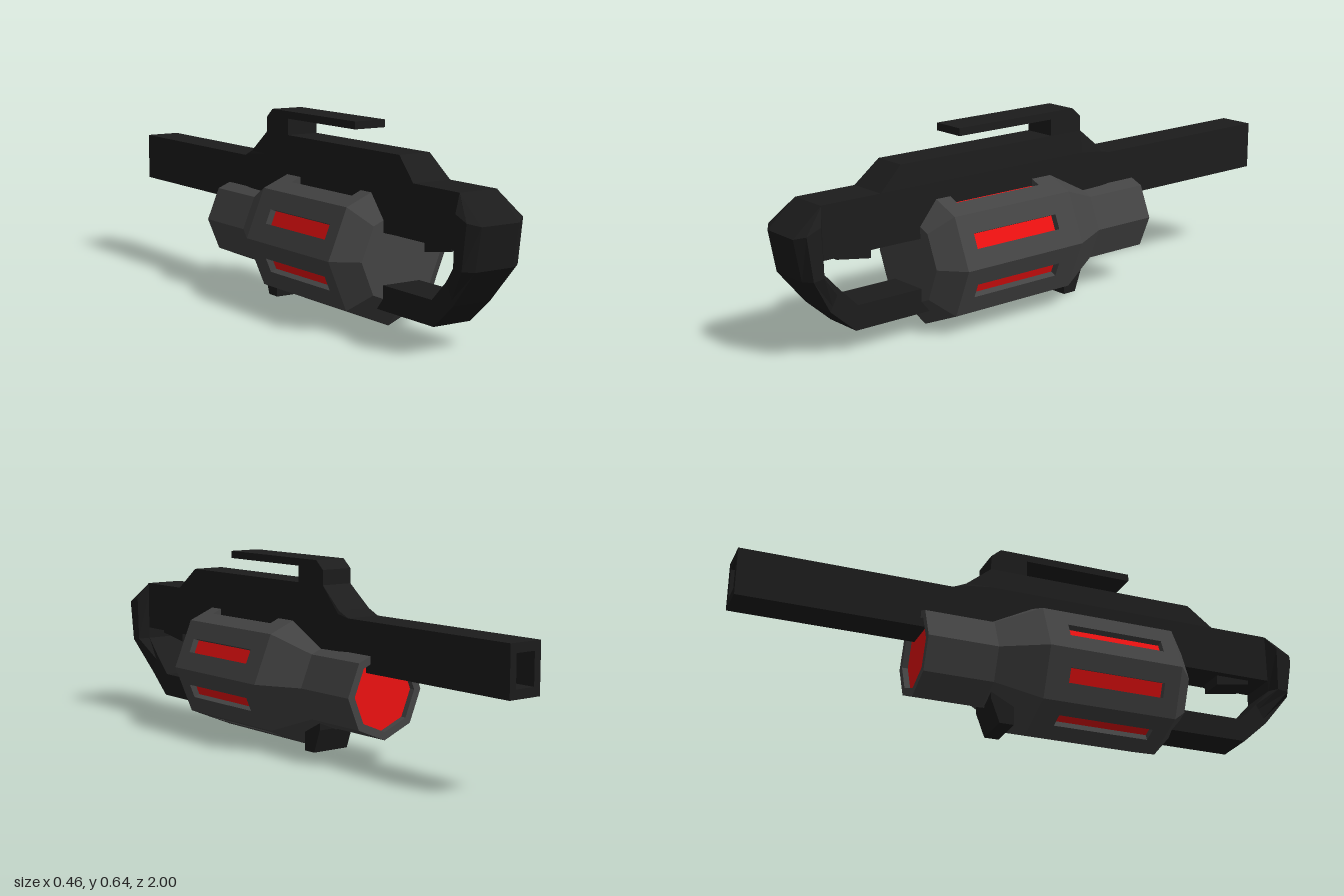
import * as THREE from 'three';

const mat = (color) => new THREE.MeshStandardMaterial({ color, flatShading: true });

export function createModel() {
  const group = new THREE.Group();
  const black = mat(0x1c1c1c), grey = mat(0x444444), red = mat(0xee1111);

  const add = (name, geometry, material, parent = group) => {
    const mesh = new THREE.Mesh(geometry, material);
    mesh.name = name;
    parent.add(mesh);
    return mesh;
  };

  // Skin a series of rings (counter-clockwise seen from the start) and cap both ends
  const loft = (rings) => {
    const pos = [];
    const tri = (...pts) => pts.forEach((p) => pos.push(...p));
    const n = rings[0].length;
    for (let i = 0; i < rings.length - 1; i++) {
      for (let j = 0; j < n; j++) {
        const k = (j + 1) % n, f = rings[i], b = rings[i + 1];
        tri(f[j], b[j], f[k]);
        tri(f[k], b[j], b[k]);
      }
    }
    const first = rings[0], last = rings[rings.length - 1];
    for (let j = 1; j < n - 1; j++) {
      tri(first[0], first[j], first[j + 1]);
      tri(last[0], last[j + 1], last[j]);
    }
    const g = new THREE.BufferGeometry();
    g.setAttribute('position', new THREE.Float32BufferAttribute(pos, 3));
    g.computeVertexNormals();
    return g;
  };

  // Extrude a side profile given as [z, y] to a half width
  const slab = (profile, half) => {
    const shape = new THREE.Shape(profile.map(([z, y]) => new THREE.Vector2(z, y)));
    return new THREE.ExtrudeGeometry(shape, { depth: half * 2, bevelEnabled: false })
      .translate(0, 0, -half).rotateY(-Math.PI / 2);
  };

  // Spine and long barrel: [z, bottom, shoulder, top, half width, top half width];
  // the last two sections turn inward to form the bore
  const spine = [
    [0.9, 0.315, 0.485, 0.485, 0.07, 0.07],
    [0.685, 0.315, 0.485, 0.485, 0.07, 0.07],
    [0.6, 0.315, 0.485, 0.56, 0.07, 0.058],
    [-0.145, 0.3, 0.485, 0.56, 0.07, 0.058],
    [-0.235, 0.3, 0.475, 0.485, 0.067, 0.063],
    [-0.28, 0.3, 0.465, 0.465, 0.062, 0.062],
    [-1, 0.3, 0.465, 0.465, 0.062, 0.062],
    [-1, 0.33, 0.435, 0.435, 0.037, 0.037],
    [-0.9, 0.33, 0.435, 0.435, 0.037, 0.037],
  ];
  add('spineAndBarrel', loft(spine.map(([z, b, s, t, w, v]) => [
    [-w, b, z], [w, b, z], [w, s, z], [v, t, z], [-v, t, z], [-w, s, z],
  ])), black);

  // Curved rear handle: outer [z, y], inner [z, y], half width of the bulge
  const handle = [
    [[0.9, 0.485], [0.9, 0.48], 0.07],
    [[1.0, 0.4], [0.9, 0.44], 0.105],
    [[0.975, 0.265], [0.9, 0.275], 0.105],
    [[0.88, 0.15], [0.845, 0.215], 0.07],
    [[0.79, 0.07], [0.78, 0.15], 0.07],
    [[0.5, 0.07], [0.5, 0.15], 0.07],
  ];
  add('handle', loft(handle.map(([o, i, w]) => {
    const at = (x, t) => [x, o[1] + (i[1] - o[1]) * t, o[0] + (i[0] - o[0]) * t];
    return [at(-0.07, 0), at(0.07, 0), at(w, 0.25), at(w, 0.75),
      at(0.07, 1), at(-0.07, 1), at(-w, 0.75), at(-w, 0.25)];
  })), black);

  // Small parts along the centre line
  add('trigger', slab([[0.835, 0.33], [0.835, 0.3], [0.71, 0.28], [0.71, 0.33]], 0.045), black);
  add('lowerFin', slab([[-0.065, 0.12], [-0.065, 0], [-0.115, 0], [-0.145, 0.08], [-0.145, 0.12]], 0.07), black);
  add('topRail', slab([[-0.015, 0.55], [-0.015, 0.615], [0.37, 0.615], [0.37, 0.64],
    [-0.11, 0.64], [-0.145, 0.61], [-0.145, 0.55]], 0.058), black);

  // Octagonal chamber, centred on its own axis
  const chamber = new THREE.Group();
  chamber.name = 'chamber';
  chamber.position.y = 0.23;
  group.add(chamber);
  const R = 0.23, r = 0.152, start = 0, end = 0.475;
  const turned = (pts) => new THREE.LatheGeometry(
    pts.map(([x, y]) => new THREE.Vector2(x, y)), 8).rotateX(Math.PI / 2);
  add('nozzle', turned([[0.125, -0.37], [0.125, -0.39], [r, -0.39], [r, -0.15], [R, start]]), grey, chamber);
  add('frontBevel', turned([[R, end], [r, 0.54], [0, 0.54]]), grey, chamber);
  add('nozzleGlow', new THREE.CircleGeometry(0.125, 8).rotateY(Math.PI).translate(0, 0, -0.37), red, chamber);

  // Eight side plates, each with a slot over a glowing strip
  const half = R * Math.sin(Math.PI / 8), apothem = R * Math.cos(Math.PI / 8);
  const slot = { half: 0.025, from: 0.08, to: 0.42, depth: 0.022 };
  const rect = (Type, w, y0, y1) => new Type([[-w, y0], [w, y0], [w, y1], [-w, y1]]
    .map(([x, y]) => new THREE.Vector2(x, y)));
  const plateShape = rect(THREE.Shape, half, start, end);
  plateShape.holes.push(rect(THREE.Path, slot.half, slot.from, slot.to));
  const plate = new THREE.ExtrudeGeometry(plateShape, { depth: slot.depth, bevelEnabled: false })
    .translate(0, 0, apothem - slot.depth).rotateX(Math.PI / 2);
  const strip = new THREE.PlaneGeometry(slot.half * 2, slot.to - slot.from)
    .translate(0, (slot.from + slot.to) / 2, apothem - slot.depth).rotateX(Math.PI / 2);
  for (let i = 0; i < 8; i++) {
    const angle = (i + 0.5) * Math.PI / 4;
    add('sidePlate', plate, grey, chamber).rotation.z = angle;
    add('glowStrip', strip, red, chamber).rotation.z = angle;
  }

  return group;
}
